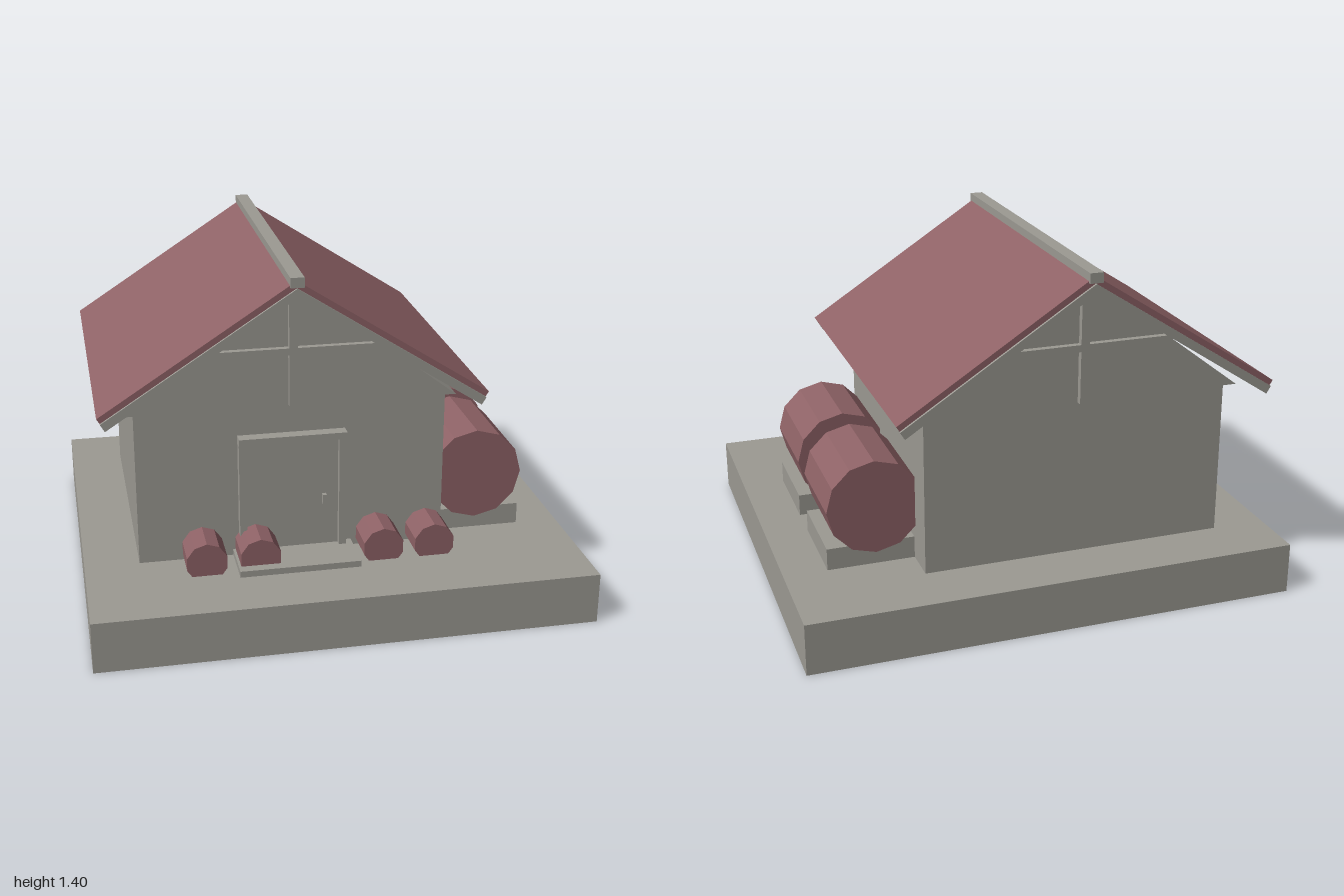
import * as THREE from 'three';

export function createModel() {
  const model = new THREE.Group();
  const stone = new THREE.MeshStandardMaterial({ color: 0x9c9a93 });
  stone.name = 'warm grey';
  const red = new THREE.MeshStandardMaterial({ color: 0x8e6266, flatShading: true });
  red.name = 'dull red';
  const ridgeX = -0.157;

  const add = (name, geometry, material) => {
    const mesh = new THREE.Mesh(geometry, material);
    mesh.name = name;
    model.add(mesh);
    return mesh;
  };
  // Box given by its limits on each axis
  const box = (name, [x0, x1], [y0, y1], [z0, z1], material = stone) =>
    add(name, new THREE.BoxGeometry(x1 - x0, y1 - y0, z1 - z0), material)
      .position.set((x0 + x1) / 2, (y0 + y1) / 2, (z0 + z1) / 2);
  // Outline in x, y swept between two z values
  const prism = (name, points, [z0, z1], material = stone) => {
    const shape = new THREE.Shape(points.map(([x, y]) => new THREE.Vector2(x, y)));
    const geometry = new THREE.ExtrudeGeometry(shape, { depth: z1 - z0, bevelEnabled: false });
    add(name, geometry.translate(0, 0, z0), material);
  };
  // Faceted barrel lying along z
  const barrel = (name, x, y, [z0, z1], radius, sides) => {
    const geometry = new THREE.CylinderGeometry(radius, radius, z1 - z0, sides);
    geometry.rotateX(Math.PI / 2);
    add(name, geometry, red).position.set(x, y, (z0 + z1) / 2);
  };

  // Plinth, walls and gable block
  box('base', [-1, 1], [0, 0.21], [-0.9, 0.9]);
  box('walls', [-0.78, 0.47], [0.2, 0.86], [-0.66, 0.45]);
  prism('gable', [[ridgeX - 0.663, 0.855], [ridgeX + 0.663, 0.855], [ridgeX, 1.36]], [-0.69, 0.48]);

  // Roof slopes with rafters under both ends
  for (const side of [-1, 1]) {
    const mirror = points => points.map(([x, y]) => [ridgeX + side * x, y]);
    prism('roofSlope', mirror([[0, 1.39], [0.767, 0.895], [0.753, 0.873], [0, 1.36]]), [-0.795, 0.58], red);
    const rafter = mirror([[0, 1.362], [0.755, 0.875], [0.737, 0.845], [0, 1.325]]);
    prism('frontRafter', rafter, [0.55, 0.59]);
    prism('backRafter', rafter, [-0.805, -0.765]);
  }
  box('ridgeCap', [-0.184, -0.13], [1.365, 1.405], [-0.805, 0.59]);

  // Crossed timbers on both gables
  for (const z of [[0.47, 0.505], [-0.715, -0.68]]) {
    box('gablePost', [-0.174, -0.14], [0.86, 1.35], z);
    box('gableBeam', [-0.52, 0.206], [1.072, 1.1], z);
  }

  // Door, frame and step
  box('door', [-0.345, 0.03], [0.21, 0.705], [0.44, 0.465]);
  box('leftDoorJamb', [0.03, 0.06], [0.21, 0.705], [0.44, 0.49]);
  box('rightDoorJamb', [-0.375, -0.345], [0.21, 0.705], [0.44, 0.49]);
  box('doorLintel', [-0.375, 0.06], [0.703, 0.732], [0.44, 0.5]);
  box('doorHandle', [-0.036, -0.02], [0.42, 0.46], [0.46, 0.485]);
  box('doorStep', [-0.4, 0.088], [0.2, 0.236], [0.44, 0.65]);

  // Small barrels sunk into the base beside the door
  for (const x of [-0.525, -0.31, 0.19, 0.4])
    barrel('smallBarrel', x, 0.263, [0.42, 0.608], 0.084, 10);

  // Large barrels on plinths along the left wall
  for (const z of [0.2, -0.325]) {
    barrel('largeBarrel', 0.63, 0.46, [z - 0.202, z + 0.202], 0.194, 12);
    box('barrelSupport', [0.46, 0.825], [0.2, 0.3], [z - 0.185, z + 0.185]);
  }
  return model;
}
